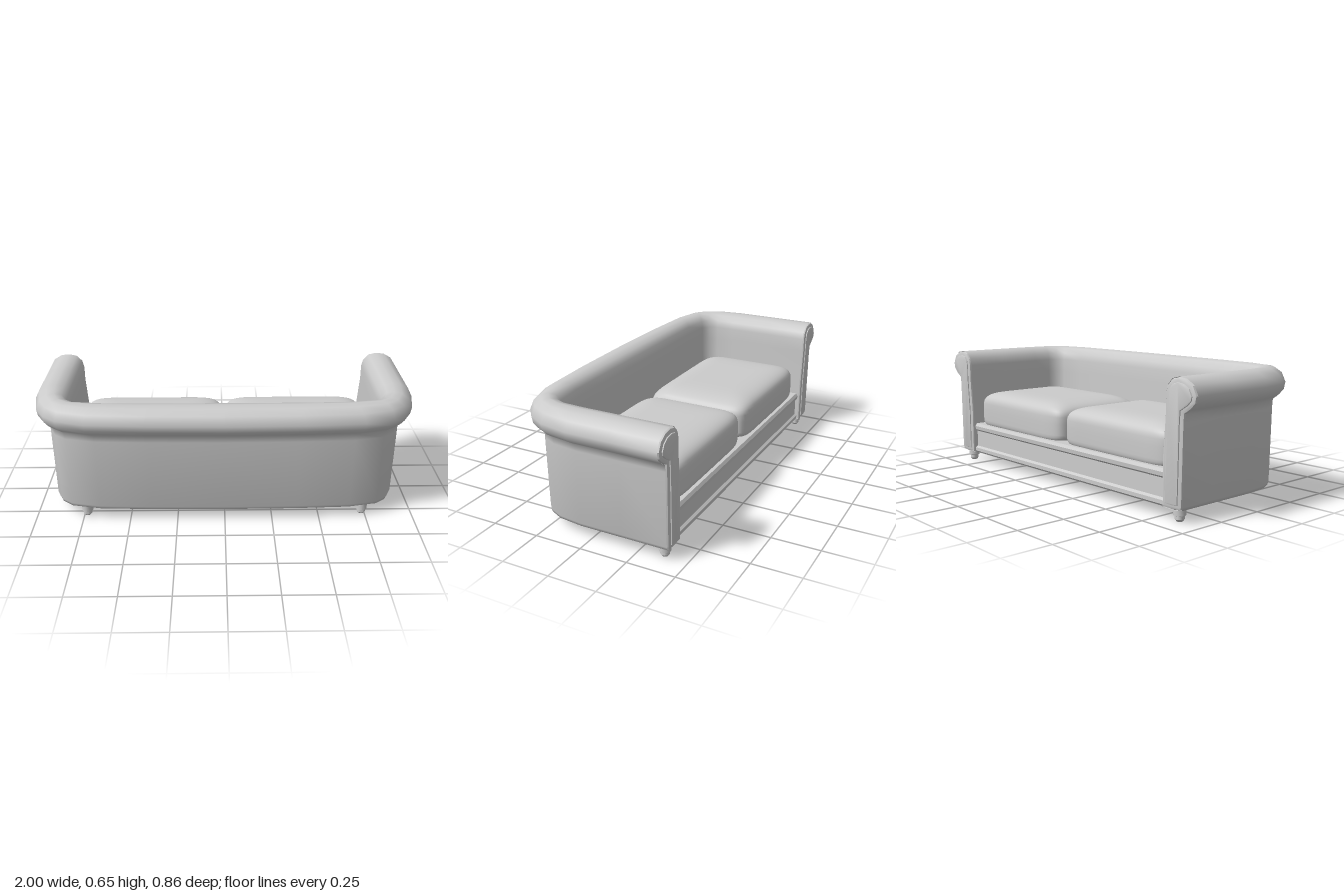
import * as THREE from 'three';
import { mergeVertices, toCreasedNormals } from 'three/addons/utils/BufferGeometryUtils.js';

const material = new THREE.MeshStandardMaterial({ color: 0xcccccc, side: THREE.DoubleSide });

// Wall cross-section: [fraction from inner to outer plan line, height]
const section = [
  [-0.08, 0.06], [-0.08, 0.3], [0, 0.5], [0.0, 0.575], [0.05, 0.615], [0.2, 0.645], [0.42, 0.655], [0.66, 0.65],
  [0.88, 0.625], [1, 0.58], [0.96, 0.545], [0.82, 0.518], [0.63, 0.495], [0.615, 0.46],
  [0.575, 0.08], [0.54, 0.063], [0.3, 0.057],
];

// Half of the U-shaped plan: inner x, inner z, outer x, outer z
const halfPlan = [
  [0.81, -0.415, 1, -0.415], [0.81, -0.18, 1, -0.18], [0.81, 0.05, 1, 0.05], [0.81, 0.15, 0.97, 0.2],
  [0.795, 0.2, 0.92, 0.29], [0.755, 0.23, 0.85, 0.35], [0.6, 0.243, 0.7, 0.4],
  [0.36, 0.245, 0.4, 0.42], [0, 0.245, 0, 0.429],
];

function add(group, name, geometry, x = 0, y = 0, z = 0) {
  const mesh = new THREE.Mesh(geometry, material);
  mesh.name = name;
  mesh.position.set(x, y, z);
  group.add(mesh);
}

// Arms and backrest in one sweep around the plan
function wallGeometry() {
  const mirrored = halfPlan.slice(0, -1).reverse().map(([a, b, c, d]) => [-a, b, -c, d]);
  const stations = [...halfPlan, ...mirrored];
  const n = section.length;
  const positions = [];
  const index = [];
  for (const [ix, iz, ox, oz] of stations) {
    for (const [d, y] of section) positions.push(ix + (ox - ix) * d, y, iz + (oz - iz) * d);
  }
  for (let s = 0; s < stations.length - 1; s++) {
    for (let k = 0; k < n; k++) {
      const a = s * n + k;
      const b = s * n + (k + 1) % n;
      index.push(a, b, a + n, b, b + n, a + n);
    }
  }
  const geometry = new THREE.BufferGeometry();
  geometry.setAttribute('position', new THREE.Float32BufferAttribute(positions, 3));
  geometry.setIndex(index);
  return toCreasedNormals(geometry, 1.2);
}

// Scroll-shaped plate closing the end of an arm
function facingGeometry(side, inset, depth, bevel) {
  const shape = new THREE.Shape(section.map(([d, y]) => new THREE.Vector2(side * (0.81 + 0.19 * d), y)));
  const geometry = new THREE.ExtrudeGeometry(shape, {
    depth, bevelEnabled: true, bevelThickness: bevel, bevelSize: bevel, bevelOffset: -inset - bevel, bevelSegments: 2,
  });
  return toCreasedNormals(geometry, 0.5);
}

// Plump cushion: a sphere squared off by powers
function cushionGeometry(w, h, d) {
  const geometry = new THREE.SphereGeometry(1, 48, 24);
  geometry.deleteAttribute('uv');
  geometry.deleteAttribute('normal');
  const p = geometry.attributes.position;
  const power = (t, e) => Math.sign(t) * Math.pow(Math.abs(t), e);
  for (let i = 0; i < p.count; i++) {
    const y = THREE.MathUtils.clamp(p.getY(i), -1, 1);
    const r = Math.sqrt(1 - y * y);
    const c = r > 1e-5 ? p.getX(i) / r : 0;
    const s = r > 1e-5 ? p.getZ(i) / r : 0;
    const spread = Math.pow(r, y > 0 ? 0.4 : 0.2);
    const z = power(s, 0.22) * spread;
    // The rear edge of the top falls away towards the backrest
    const drop = y > 0 ? 0.4 * Math.max(0, z - 0.6) : 0;
    // Flat underneath, domed on top
    p.setXYZ(i, power(c, 0.22) * spread * w / 2, (power(y, y > 0 ? 0.55 : 0.3) - drop) * h / 2, z * d / 2);
  }
  const merged = mergeVertices(geometry, 1e-4);
  merged.computeVertexNormals();
  return merged;
}

// Seat base with a moulded front rail, extruded across the width
function baseGeometry() {
  const profile = [
    [-0.25, 0.058], [0.4, 0.058], [0.408, 0.066], [0.408, 0.085], [0.396, 0.095], [0.394, 0.185],
    [0.406, 0.195], [0.408, 0.215], [0.398, 0.23], [-0.25, 0.23],
  ];
  const shape = new THREE.Shape(profile.map(([a, y]) => new THREE.Vector2(a, y)));
  const geometry = new THREE.ExtrudeGeometry(shape, { depth: 1.64, bevelEnabled: false });
  geometry.translate(0, 0, -0.82);
  geometry.rotateY(Math.PI / 2);
  return geometry;
}

function legGeometry() {
  const profile = [[0, 0], [0.014, 0], [0.023, 0.011], [0.023, 0.027], [0.03, 0.03], [0.03, 0.065]];
  const lathe = new THREE.LatheGeometry(profile.map(([r, y]) => new THREE.Vector2(r, y)), 16);
  return toCreasedNormals(lathe, 0.5);
}

export function createModel() {
  const sofa = new THREE.Group();
  sofa.name = 'sofa';

  add(sofa, 'armsAndBackrest', wallGeometry());
  add(sofa, 'seatBase', baseGeometry());

  const cushion = cushionGeometry(0.79, 0.22, 0.6);
  const leg = legGeometry();
  for (const side of [-1, 1]) {
    const label = side > 0 ? 'left' : 'right';
    add(sofa, label + 'Cushion', cushion, side * 0.4, 0.318, -0.087);
    add(sofa, label + 'ArmFacing', facingGeometry(side, 0.002, 0.008, 0.012), 0, 0, -0.412);
    add(sofa, label + 'ArmPanel', facingGeometry(side, 0.024, 0.008, 0.005), 0, 0, -0.425);
    add(sofa, label + 'ArmLeg', leg, side * 0.865, 0, -0.377);
    add(sofa, label + 'BackrestLeg', leg, side * 0.733, 0, 0.28);
  }
  return sofa;
}
